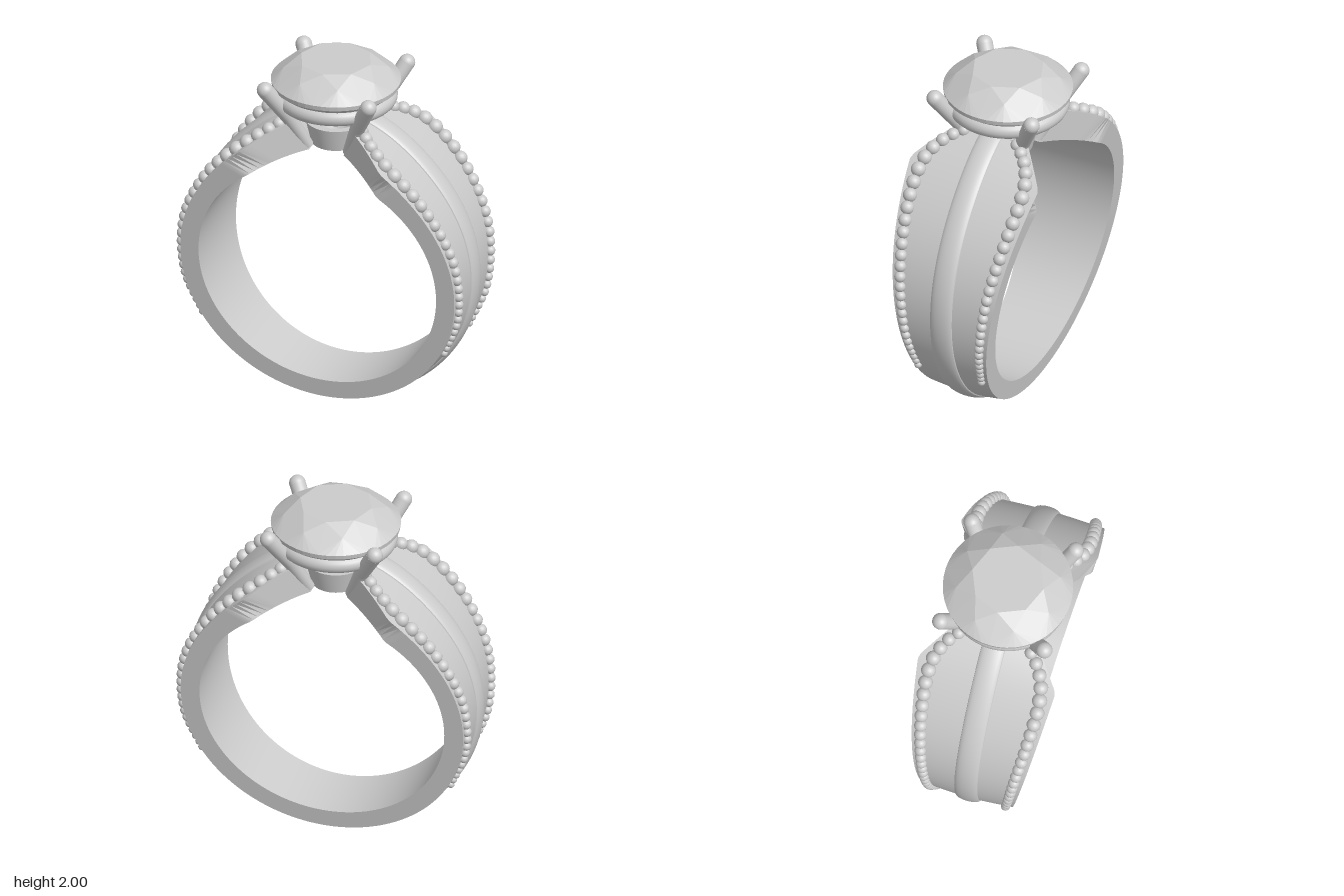
import * as THREE from 'three';
import { toCreasedNormals } from 'three/addons/utils/BufferGeometryUtils.js';
import { ConvexGeometry } from 'three/addons/geometries/ConvexGeometry.js';

const CY = 0.825;       // height of the finger hole centre
const R_IN = 0.685;     // finger hole radius
const RIDGE = 0.065;    // half width of the central ridge
const rad = THREE.MathUtils.degToRad;
const mat = new THREE.MeshStandardMaterial({ color: 0xcccccc });

// Outer radius of the band edge, a = angle from the top; swells at the shoulders
const outerR = a => 0.79 + 0.095 * Math.pow((1 + Math.cos(a)) / 2, 13);

// Half width: grows with height, then pinches in towards the setting
function halfWidth(x, y) {
  const taper = 0.17 + (y - 0.03) * 0.1415;
  if (y < CY) return taper;
  return Math.min(taper, 0.385 - (0.4 - Math.abs(x)) * 0.8);
}

function add(parent, geometry, name) {
  const m = new THREE.Mesh(geometry, mat);
  m.name = name;
  parent.add(m);
  return m;
}

// Band: cross-sections swept round the finger hole, open under the setting
function bandGeometry() {
  const N = 160, RS = 12, pos = [], idx = [];
  let n = 0;
  for (let i = 0; i <= N; i++) {
    const t = i / N;
    const ao = THREE.MathUtils.lerp(rad(13), rad(347), t);
    const ai = THREE.MathUtils.lerp(rad(8.4), rad(351.6), t);
    const R = outerR(ao);
    const w = halfWidth(R * Math.sin(ao), CY + R * Math.cos(ao));
    const wi = halfWidth(R_IN * Math.sin(ai), CY + R_IN * Math.cos(ai));
    const half = [[w, R], [(w + RIDGE) / 2, R + 0.007]];
    const section = half.map(([z, r]) => [z, r, ao]);
    for (let k = 0; k <= RS; k++) {
      const b = Math.PI * k / RS;
      section.push([RIDGE * Math.cos(b), R + 0.012 + 0.022 * Math.sin(b), ao]);
    }
    half.reverse().forEach(([z, r]) => section.push([-z, r, ao]));
    section.push([-wi, R_IN, ai], [wi, R_IN, ai]);
    n = section.length;
    for (const [z, r, a] of section) pos.push(r * Math.sin(a), CY + r * Math.cos(a), z);
  }
  for (let i = 0; i < N; i++) {
    for (let j = 0; j < n; j++) {
      const a = i * n + j, d = i * n + (j + 1) % n;
      idx.push(a, a + n, d, a + n, d + n, d);
    }
  }
  // end caps
  const e = N * n;
  for (let j = 0; j < n - 2; j++) {
    idx.push(n - 1, j, j + 1, e + n - 1, e + j + 1, e + j);
  }
  const g = new THREE.BufferGeometry();
  g.setAttribute('position', new THREE.Float32BufferAttribute(pos, 3));
  g.setIndex(idx);
  return toCreasedNormals(g, 0.4);
}

// Row of graduated beads along one edge of one shoulder
function beadRow(sx, sz) {
  const row = new THREE.Group();
  row.name = 'beadRow';
  const path = [[14, 0.16], [19, 0.235], [26, 0.293], [34, 0.313], [50, 0.302],
    [75, 0.262], [100, 0.222], [120, 0.19]];
  const curve = new THREE.CatmullRomCurve3(path.map(([deg, z]) => {
    const a = rad(deg), r = outerR(a) + 0.01;
    return new THREE.Vector3(sx * r * Math.sin(a), CY + r * Math.cos(a), sz * z);
  }));
  const length = curve.getLength();
  for (let s = 0; s <= length;) {
    const u = s / length;
    const r = u < 0.2 ? 0.034 + 0.04 * u : 0.042 - 0.021 * (u - 0.2) / 0.8;
    add(row, new THREE.SphereGeometry(r, 16, 12), 'bead').position.copy(curve.getPointAt(u));
    s += r * 1.8;
  }
  return row;
}

// Brilliant-cut stone with flat facets
function gemGeometry() {
  const pts = [];
  const circle = (count, r, y, turn = 0) => {
    for (let i = 0; i < count; i++) {
      const a = (i + turn) / count * Math.PI * 2;
      pts.push(new THREE.Vector3(r * Math.sin(a), y, r * Math.cos(a)));
    }
  };
  circle(8, 0.2, 2);
  circle(8, 0.283, 1.952, 0.5);
  circle(48, 0.352, 1.885);
  circle(48, 0.348, 1.86);
  circle(8, 0.14, 1.69, 0.5);
  pts.push(new THREE.Vector3(0, 1.59, 0));
  return new ConvexGeometry(pts);
}

// Tapered prong leaning outwards along a diagonal, with a rounded tip
function prong(sx, sz) {
  const g = new THREE.Group();
  g.name = 'prong';
  const stations = [[0.12, 1.515, 0.034], [0.2, 1.71, 0.042], [0.298, 1.895, 0.045]]
    .map(([d, y, r]) => ({ p: new THREE.Vector3(sx * d, y, sz * d * 0.98), r }));
  for (let i = 0; i < 2; i++) {
    const a = stations[i], b = stations[i + 1];
    const dir = b.p.clone().sub(a.p);
    const m = add(g, new THREE.CylinderGeometry(b.r, a.r, dir.length(), 24), 'prongShaft');
    m.position.copy(a.p).add(b.p).multiplyScalar(0.5);
    m.quaternion.setFromUnitVectors(new THREE.Vector3(0, 1, 0), dir.normalize());
  }
  for (const s of stations.slice(1)) {
    const ball = add(g, new THREE.SphereGeometry(s.r, 24, 16), 'prongKnuckle');
    ball.position.copy(s.p);
  }
  return g;
}

export function createModel() {
  const ring = new THREE.Group();
  ring.name = 'ring';
  add(ring, bandGeometry(), 'band');

  const setting = new THREE.Group();
  setting.name = 'setting';
  ring.add(setting);

  for (const sx of [1, -1]) {
    for (const sz of [1, -1]) {
      ring.add(beadRow(sx, sz));
      setting.add(prong(sx, sz));
    }
  }

  // Base cup, pierced at the bottom
  const cup = [[0.07, 1.51], [0.135, 1.51], [0.165, 1.64], [0.125, 1.64], [0.07, 1.51]]
    .map(([r, y]) => new THREE.Vector2(r, y));
  add(setting, toCreasedNormals(new THREE.LatheGeometry(cup, 48), 0.5), 'baseCup');

  // Round rail under the stone
  const rail = add(setting, new THREE.TorusGeometry(0.288, 0.046, 20, 72), 'rail');
  rail.rotation.x = Math.PI / 2;
  rail.position.y = 1.79;

  add(setting, gemGeometry(), 'stone');
  return ring;
}
